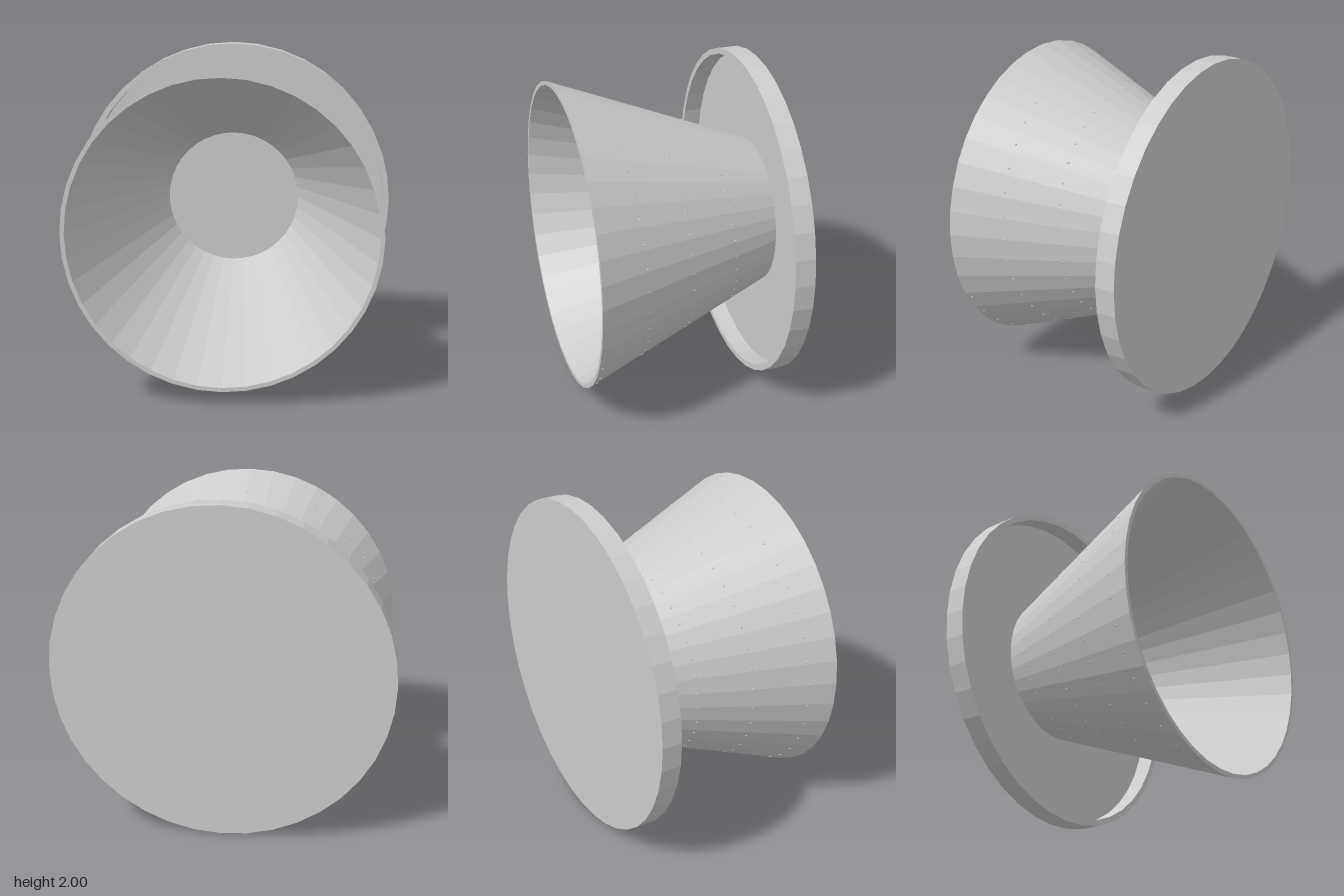
import * as THREE from 'three';
import { mergeGeometries } from 'three/addons/utils/BufferGeometryUtils.js';

const SIDES = 40;
const material = new THREE.MeshStandardMaterial({ color: 0xcccccc, flatShading: true });

// Turned part: profile of [radius, z] pairs, spun about the z axis.
function turned(name, profile) {
  const geometry = new THREE.LatheGeometry(profile.map(([r, z]) => new THREE.Vector2(r, z)), SIDES);
  geometry.rotateX(Math.PI / 2);
  const mesh = new THREE.Mesh(geometry, material);
  mesh.name = name;
  return mesh;
}

// Outer radius of the funnel at depth z.
const SLOPE = 0.4;
const funnelRadius = (z) => 0.92 - SLOPE * (0.6 - z);

// Tiny studs winding around the funnel in one helix, 36 to the turn.
function helixStuds() {
  const perTurn = 36, pitch = 0.3, studs = [];
  const outward = new THREE.Vector3(0, 0, 1);
  for (let i = -90; i <= 36; i++) {
    const angle = (i / perTurn) * Math.PI * 2;
    const z = 0.3 + (pitch * i) / perTurn;
    if (z < -0.47 || z > 0.58) continue;
    const r = funnelRadius(z) - 0.002;
    const normal = new THREE.Vector3(Math.cos(angle), Math.sin(angle), -SLOPE).normalize();
    const stud = new THREE.SphereGeometry(0.008, 8, 6);
    stud.scale(1, 1, 0.6);
    stud.applyQuaternion(new THREE.Quaternion().setFromUnitVectors(outward, normal));
    stud.translate(r * Math.cos(angle), r * Math.sin(angle), z);
    studs.push(stud);
  }
  const mesh = new THREE.Mesh(mergeGeometries(studs), material);
  mesh.name = 'funnelStuds';
  return mesh;
}

export function createModel() {
  const model = new THREE.Group();
  model.name = 'funnelOnTray';

  // Shallow round tray with a raised rim
  const tray = turned('tray', [
    [0, -0.6], [1, -0.6], [1, -0.48], [0.965, -0.48], [0.965, -0.59], [0, -0.59],
  ]);

  // Thin-walled funnel opening to the front, standing on the tray floor
  const funnel = turned('funnel', [
    [funnelRadius(-0.595), -0.595], [0.92, 0.6], [0.895, 0.6], [funnelRadius(-0.595) - 0.025, -0.595],
  ]);

  model.add(tray, funnel, helixStuds());
  model.children.forEach((part) => { part.position.y = 1; });
  return model;
}
